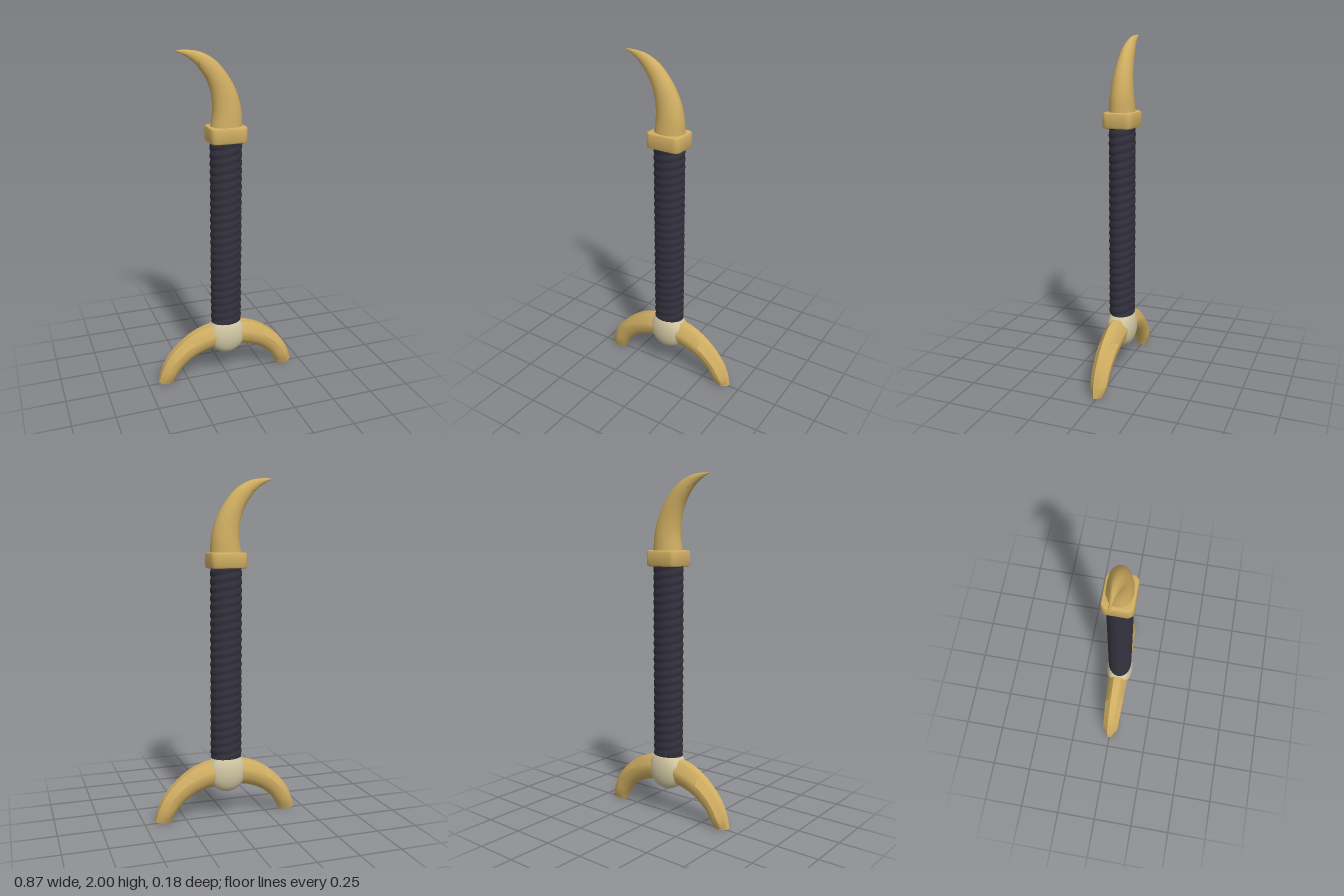
import * as THREE from 'three';
import { toCreasedNormals } from 'three/addons/utils/BufferGeometryUtils.js';

const material = (name, color) => {
  const m = new THREE.MeshStandardMaterial({ color });
  m.name = name;
  return m;
};

// Sections are [outerX, outerY, innerX, innerY, halfDepth]; ring is a list of [across, depth] factors.
function loft(sections, ring, steps, crease) {
  const curve = k => new THREE.CatmullRomCurve3(
    sections.map(s => new THREE.Vector3(s[k], s[k + 1], s[4])), false, 'centripetal');
  const outer = curve(0), inner = curve(2);
  const n = ring.length, pos = [], index = [];
  for (let i = 0; i <= steps; i++) {
    const a = outer.getPoint(i / steps), b = inner.getPoint(i / steps);
    const depth = (a.z + b.z) / 2;
    for (const [u, w] of ring) {
      pos.push((a.x + b.x) / 2 + u * (a.x - b.x) / 2, (a.y + b.y) / 2 + u * (a.y - b.y) / 2, w * depth);
    }
  }
  for (let i = 0; i < steps; i++) {
    for (let j = 0; j < n; j++) {
      const k = (j + 1) % n, p = i * n, q = p + n;
      index.push(p + j, q + j, p + k, p + k, q + j, q + k);
    }
  }
  // flat end caps
  const e = steps * n;
  for (let j = 1; j < n - 1; j++) index.push(0, j, j + 1, e, e + j + 1, e + j);
  const g = new THREE.BufferGeometry();
  g.setAttribute('position', new THREE.Float32BufferAttribute(pos, 3));
  g.setIndex(index);
  return toCreasedNormals(g, crease);
}

export function createModel() {
  const group = new THREE.Group();
  const gold = material('gold', 0xd0ae62);
  const leather = material('dark leather', 0x33313d);
  const bone = material('bone', 0xd0c6a2);
  const add = (name, geometry, mat) => {
    const mesh = new THREE.Mesh(geometry, mat);
    mesh.name = name;
    group.add(mesh);
    return mesh;
  };

  // curved claw on the top
  const oval = Array.from({ length: 16 }, (_, i) => {
    const a = i / 16 * Math.PI * 2;
    return [Math.cos(a), Math.sin(a)];
  });
  add('hornPommel', loft([
    [0.095, 1.56, -0.093, 1.56, 0.076],
    [0.088, 1.67, -0.078, 1.66, 0.067],
    [0.06, 1.77, -0.083, 1.74, 0.057],
    [0.01, 1.86, -0.105, 1.82, 0.047],
    [-0.06, 1.94, -0.142, 1.885, 0.036],
    [-0.14, 1.985, -0.19, 1.94, 0.022],
    [-0.21, 1.999, -0.235, 1.972, 0.011],
    [-0.285, 2.0, -0.285, 1.998, 0.001],
  ], oval, 32, 0.9), gold);

  // rounded rectangular collar with bevelled rims
  const hx = 0.096, hz = 0.076, r = 0.025;
  const plate = new THREE.Shape();
  plate.moveTo(-hx + r, -hz);
  plate.absarc(hx - r, -hz + r, r, -Math.PI / 2, 0);
  plate.absarc(hx - r, hz - r, r, 0, Math.PI / 2);
  plate.absarc(-hx + r, hz - r, r, Math.PI / 2, Math.PI);
  plate.absarc(-hx + r, -hz + r, r, Math.PI, Math.PI * 1.5);
  const collar = new THREE.ExtrudeGeometry(plate, {
    depth: 0.066, bevelThickness: 0.012, bevelSize: 0.012, bevelSegments: 2, curveSegments: 5,
  });
  collar.rotateX(-Math.PI / 2);
  collar.translate(0, 1.502, 0);
  add('collar', toCreasedNormals(collar, 0.6), gold);

  // oval grip with a shallow spiral wrap
  const grip = new THREE.CylinderGeometry(1, 1, 1.15, 24, 192);
  const gp = grip.attributes.position;
  for (let i = 0; i < gp.count; i++) {
    const x = gp.getX(i), z = gp.getZ(i), y = gp.getY(i) + 0.945;
    const phase = y / 0.048 * Math.PI + Math.atan2(z, x);
    const k = 0.96 + 0.06 * Math.abs(Math.sin(phase));
    gp.setXYZ(i, x * 0.0925 * k, y, z * 0.0735 * k);
  }
  add('wrappedGrip', toCreasedNormals(grip, 0.6), leather);

  // flattened bulb joining grip and guard
  const hub = new THREE.SphereGeometry(1, 28, 20);
  const hp = hub.attributes.position;
  for (let i = 0; i < hp.count; i++) {
    const z = hp.getZ(i);
    hp.setXYZ(i, hp.getX(i) * 0.118, 0.28 + hp.getY(i) * 0.12, Math.sign(z) * Math.pow(Math.abs(z), 0.7) * 0.084);
  }
  hub.computeVertexNormals();
  add('hub', hub, bone);

  // arched guard, ridged outside and rounded inside
  const half = [
    [0.437, 0.012, 0.345, 0.002, 0.03],
    [0.42, 0.075, 0.325, 0.045, 0.048],
    [0.38, 0.16, 0.28, 0.105, 0.053],
    [0.3, 0.25, 0.21, 0.158, 0.058],
    [0.2, 0.318, 0.13, 0.19, 0.062],
    [0.1, 0.35, 0.06, 0.203, 0.065],
  ];
  const mirrored = half.map(s => [-s[0], s[1], -s[2], s[3], s[4]]).reverse();
  const side = [[1, 0.36], [0.35, 0.98], [0, 1], [-0.4, 0.9], [-0.75, 0.66], [-1, 0.3]];
  const guardRing = [...side, ...side.map(([u, w]) => [u, -w]).reverse()];
  add('archedGuard', loft([...half, [0, 0.356, 0, 0.206, 0.066], ...mirrored], guardRing, 36, 0.65), gold);

  return group;
}
